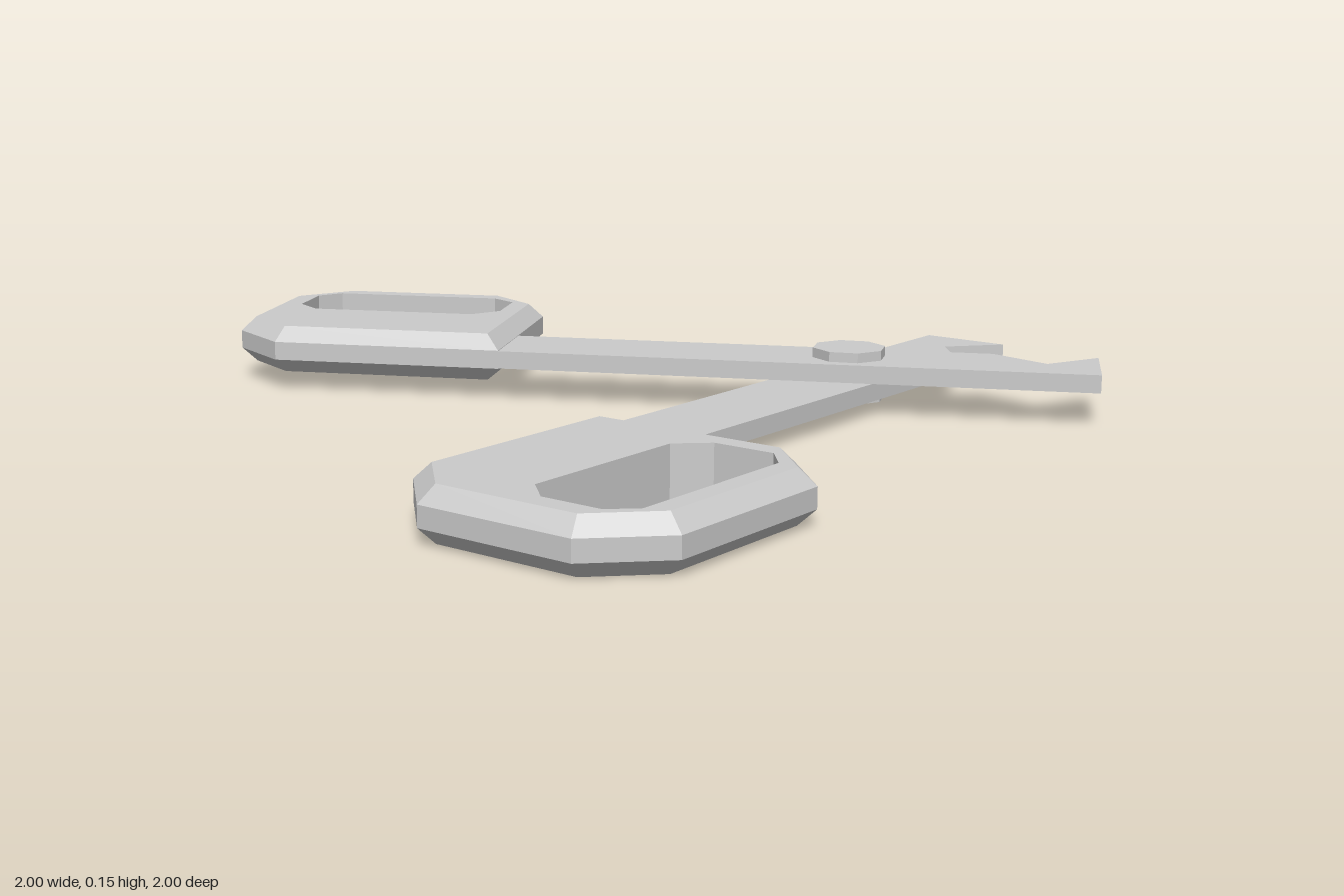
import * as THREE from 'three';

const material = new THREE.MeshStandardMaterial({ color: 0xcccccc, flatShading: true });
const BEVEL = 0.033;
const HANDLE_DEPTH = 0.108;
const BLADE_DEPTH = 0.04;
const points = (list) => list.map(([x, y]) => new THREE.Vector2(x, y));

// Outlines seen from above, pivot at the origin, blade tip towards +y
const bladeOutline = points([
  [-0.103, 0.548], [0.1, 0.548], [0.004, 0.435], [0.1, 0.316], [0.1, -0.827], [-0.103, -0.827],
]);
const handleOutline = points([
  [-0.103, -0.787], [0.367, -0.787], [0.494, -0.912], [0.494, -1.322],
  [0.367, -1.452], [0.027, -1.452], [-0.103, -1.322],
]);
// Counter-clockwise, so that its walls face into the opening
const fingerHole = points([
  [0.177, -0.922], [0.177, -1.315], [0.237, -1.372], [0.368, -1.372],
  [0.417, -1.325], [0.417, -0.922], [0.369, -0.865], [0.237, -0.865],
]);

// Moves each corner of a clockwise outline inwards by a fixed distance
function inset(outline, distance) {
  const n = outline.length;
  const normal = (a, b) => {
    const d = b.clone().sub(a).normalize();
    return new THREE.Vector2(d.y, -d.x);
  };
  return outline.map((p, i) => {
    const n1 = normal(outline[(i + n - 1) % n], p);
    const n2 = normal(p, outline[(i + 1) % n]);
    return n1.clone().add(n2).multiplyScalar(distance / (1 + n1.dot(n2))).add(p);
  });
}

// Lays an extrusion flat, centred on y = 0
function layFlat(geometry, depth) {
  geometry.translate(0, 0, -depth / 2);
  geometry.rotateX(-Math.PI / 2);
  geometry.computeVertexNormals();
  return geometry;
}

function bladeGeometry() {
  const shape = new THREE.Shape(bladeOutline);
  return layFlat(new THREE.ExtrudeGeometry(shape, { depth: BLADE_DEPTH, bevelEnabled: false }), BLADE_DEPTH);
}

// Handle with chamfered outer rims and a straight-walled finger hole
function handleGeometry() {
  const shape = new THREE.Shape(handleOutline);
  shape.holes.push(new THREE.Path(fingerHole));
  const geometry = new THREE.ExtrudeGeometry(shape, { depth: HANDLE_DEPTH, steps: 3, bevelEnabled: false });
  const rim = inset(handleOutline, BEVEL);
  const layers = [0, BEVEL, HANDLE_DEPTH - BEVEL, HANDLE_DEPTH];
  const pos = geometry.attributes.position;
  for (let i = 0; i < pos.count; i++) {
    const layer = Math.round((pos.getZ(i) / HANDLE_DEPTH) * 3);
    pos.setZ(i, layers[layer]);
    const here = new THREE.Vector2(pos.getX(i), pos.getY(i));
    const corner = handleOutline.findIndex((p) => p.distanceTo(here) < 1e-4);
    if (corner >= 0 && (layer === 0 || layer === 3)) pos.setXY(i, rim[corner].x, rim[corner].y);
  }
  return layFlat(geometry, HANDLE_DEPTH);
}

function addMesh(parent, name, geometry) {
  const mesh = new THREE.Mesh(geometry, material);
  mesh.name = name;
  parent.add(mesh);
  return mesh;
}

export function createModel() {
  const model = new THREE.Group();
  model.name = 'scissors';
  const blade = bladeGeometry();
  const handle = handleGeometry();

  // Two identical halves; the upper one is turned over and swung open
  for (const [name, y, flip, swing] of [
    ['lowerHalf', HANDLE_DEPTH / 2, 0, 0],
    ['upperHalf', HANDLE_DEPTH / 2 + BLADE_DEPTH, Math.PI, -1.099],
  ]) {
    const half = new THREE.Group();
    half.name = name;
    addMesh(half, 'blade', blade);
    addMesh(half, 'handle', handle);
    half.position.set(0.463, y, -0.452);
    half.rotation.set(0, swing, flip);
    model.add(half);
  }

  // Octagonal pivot pin through both blades
  const pin = addMesh(model, 'pivotPin', new THREE.CylinderGeometry(0.083, 0.083, 0.116, 8));
  pin.position.set(0.461, 0.078, -0.454);
  return model;
}
